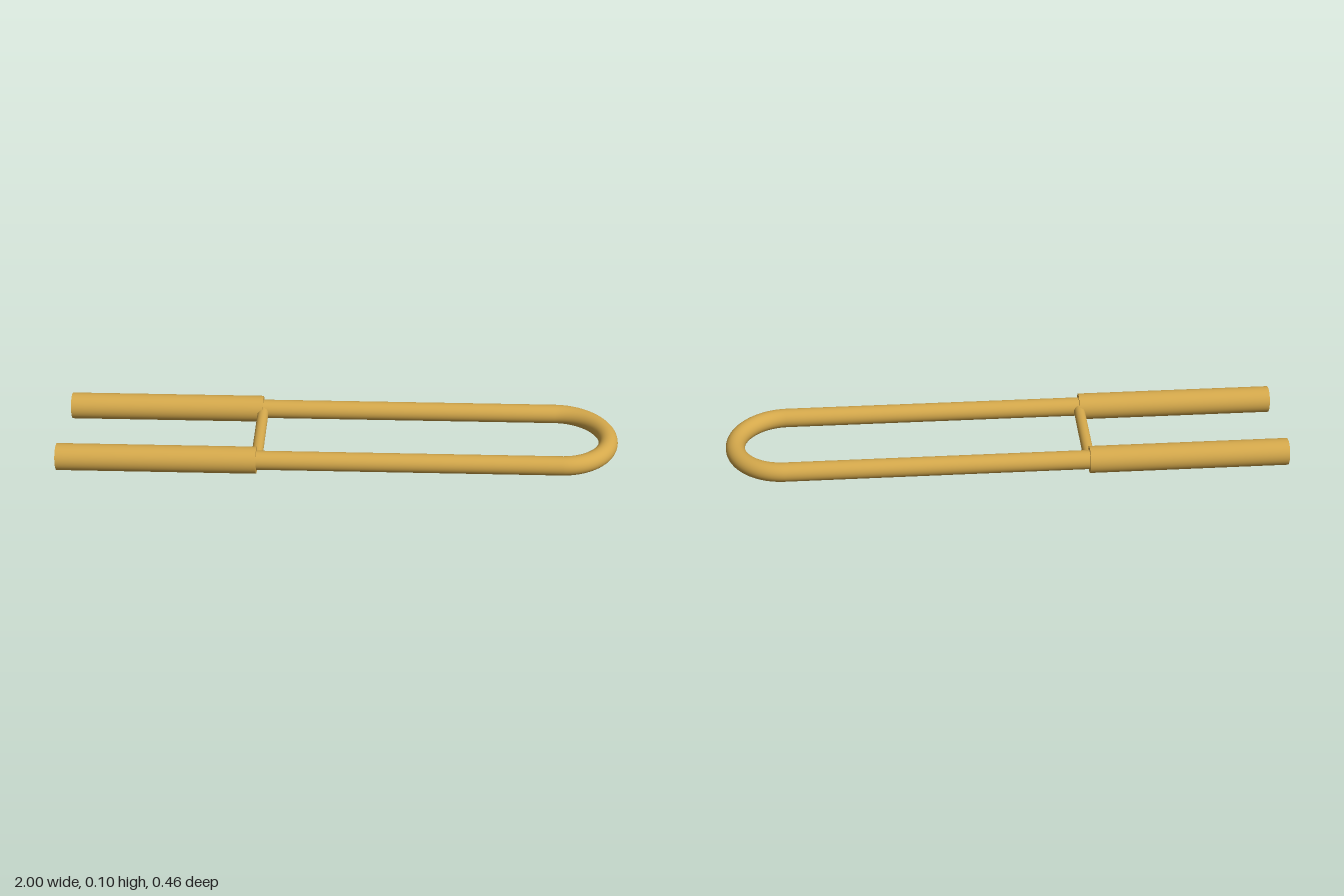
import * as THREE from 'three';

const Y = 0.048;        // height of all tube axes
const HALF = 0.18;      // half spacing between the two sides
const ROD = 0.034;      // rod radius
const GRIP_END = -0.29; // where the grips stop and the rods emerge
const BEND = 0.786;     // where the rods turn into the end loop

export function createModel() {
  const group = new THREE.Group();
  const brass = new THREE.MeshStandardMaterial({ color: 0xd4a84b });
  brass.name = 'brass';

  const add = (name, geometry, x, y, z) => {
    const mesh = new THREE.Mesh(geometry, brass);
    mesh.name = name;
    mesh.position.set(x, y, z);
    group.add(mesh);
  };

  // capped cylinder running along x
  const barX = (name, radius, x0, x1, z) =>
    add(name, new THREE.CylinderGeometry(radius, radius, x1 - x0, 48).rotateZ(Math.PI / 2), (x0 + x1) / 2, Y, z);

  // thick grips and slim rods, mirrored front and back
  for (const [side, s] of [['front', 1], ['back', -1]]) {
    barX(side + 'Grip', 0.048, -1, GRIP_END, s * HALF);
    barX(side + 'Rod', ROD, GRIP_END - 0.02, BEND, s * HALF);
  }

  // half-ring joining the rods
  const loop = new THREE.TorusGeometry(HALF, ROD, 32, 64, Math.PI)
    .rotateZ(-Math.PI / 2)
    .rotateX(Math.PI / 2);
  add('endLoop', loop, BEND, Y, 0);

  // thin brace between the grips
  add('crossbar', new THREE.CylinderGeometry(0.02, 0.02, 2 * HALF, 32).rotateX(Math.PI / 2), GRIP_END, Y, 0);

  return group;
}
